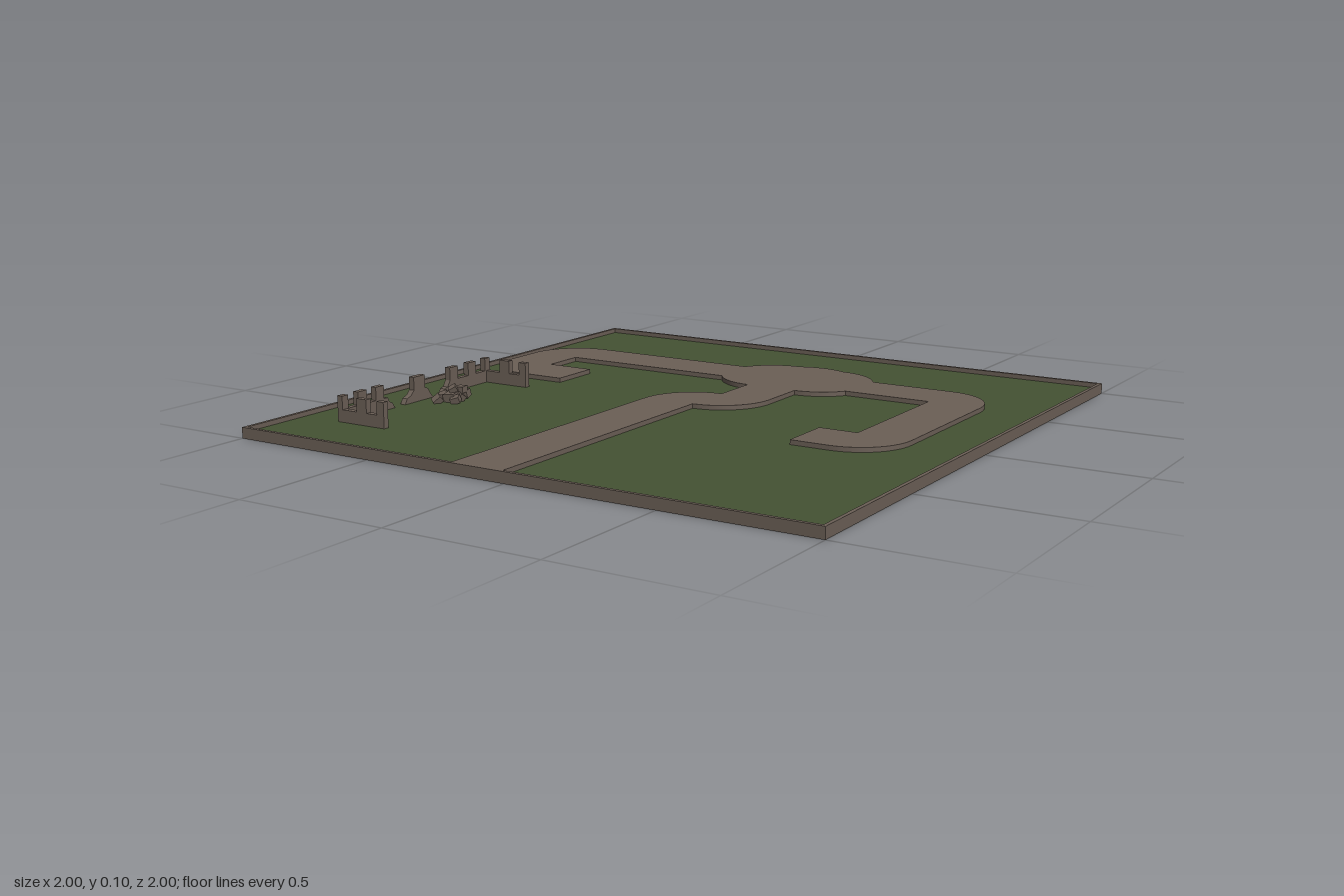
import * as THREE from 'three';

const TOP = 0.035;    // height of road and rim
const GRASS = 0.02;   // height of the sunken lawn
const R = 0.18;       // road width and corner radius

export function createModel() {
  const model = new THREE.Group();
  const stone = new THREE.MeshStandardMaterial({ color: 0x6b5f56 });
  stone.name = 'stone';
  const grass = new THREE.MeshStandardMaterial({ color: 0x445233 });
  grass.name = 'grass';

  const add = (parent, name, geometry, material) => {
    const mesh = new THREE.Mesh(geometry, material);
    mesh.name = name;
    parent.add(mesh);
    return mesh;
  };
  const group = (name) => {
    const g = new THREE.Group();
    g.name = name;
    model.add(g);
    return g;
  };
  // Box given by its limits
  const block = (parent, name, x0, x1, y0, y1, z0, z1, material = stone) => {
    const mesh = add(parent, name, new THREE.BoxGeometry(x1 - x0, y1 - y0, z1 - z0), material);
    mesh.position.set((x0 + x1) / 2, (y0 + y1) / 2, (z0 + z1) / 2);
    return mesh;
  };

  // Base tray: floor, lawn and raised rim
  const tray = group('tray');
  const w = 0.012;
  block(tray, 'floor', -1, 1, 0, 0.012, -1, 1);
  block(tray, 'lawn', -1 + w, 1 - w, 0.012, GRASS, -1 + w, 1 - w, grass);
  for (const s of [-1, 1]) {
    const a = s < 0 ? -1 : 1 - w;
    block(tray, 'rimSide', a, a + w, 0.012, TOP, -1, 1);
    block(tray, 'rimEnd', -1 + w, 1 - w, 0.012, TOP, a, a + w);
  }

  // Road: straight runs [x0, x1, z0, z1]
  const road = group('road');
  const runs = [
    [-0.19, -0.01, 0, 1],
    [-0.01, 0.17, -0.53, -0.18],
    [-0.78, -0.01, -0.61, -0.43],
    [0.17, 0.62, -0.61, -0.43],
    [-0.96, -0.78, -0.43, -0.28],
    [-0.78, -0.61, -0.28, -0.10],
    [0.62, 0.80, -0.43, 0.08],
    [0.49, 0.62, 0.075, 0.26],
  ];
  for (const [x0, x1, z0, z1] of runs) block(road, 'roadRun', x0, x1, GRASS - 0.005, TOP, z0, z1);

  // Discs and quarter-round bends; angles run from +z towards +x
  const disc = (name, x, z, r, start = 0, length = Math.PI * 2) => {
    const h = TOP - GRASS + 0.005;
    const geometry = new THREE.CylinderGeometry(r, r, h, Math.ceil(length * 8), 1, false, start, length);
    add(road, name, geometry, stone).position.set(x, TOP - h / 2, z);
  };
  const Q = Math.PI / 2;
  disc('bend', -0.01, 0, R, 2 * Q, Q);
  disc('bend', -0.01, -0.18, R, 0, Q);
  disc('bend', -0.78, -0.43, R, 2 * Q, Q);
  disc('bend', -0.78, -0.28, R, 3 * Q, Q);
  disc('bend', 0.62, -0.43, R, Q, Q);
  disc('bend', 0.62, 0.08, R, 0, Q);
  disc('plazaLobe', -0.01, -0.53, R);
  disc('plazaLobe', 0.17, -0.53, R);
  disc('plazaCentre', 0.08, -0.53, 0.2);

  // Ruined battlement: profiles along the wall, extruded by its thickness
  const ruin = group('ruin');
  const T = 0.02, LOW = 0.06, HIGH = 0.103;
  const profile = (points) => new THREE.ExtrudeGeometry(
    new THREE.Shape(points.map(([u, v]) => new THREE.Vector2(u, v))),
    { depth: T, bevelEnabled: false });
  const longWall = (name, points) => {
    const mesh = add(ruin, name, profile(points).rotateY(-Math.PI / 2), stone);
    mesh.position.x = -0.828;
  };
  longWall('backWall', [
    [0.008, GRASS], [0.26, GRASS], [0.25, 0.036], [0.235, 0.04], [0.222, LOW], [0.222, HIGH],
    [0.18, HIGH], [0.18, LOW], [0.125, LOW], [0.125, HIGH], [0.085, HIGH], [0.085, LOW],
    [0.035, LOW], [0.035, HIGH], [0.008, HIGH],
  ]);
  longWall('brokenWall', [
    [0.31, GRASS], [0.45, GRASS], [0.44, 0.038], [0.42, 0.045], [0.405, LOW], [0.405, HIGH],
    [0.35, HIGH], [0.35, LOW], [0.335, 0.055], [0.325, 0.038],
  ]);
  longWall('frontWall', [
    [0.5, GRASS], [0.742, GRASS], [0.742, HIGH], [0.715, HIGH], [0.715, LOW], [0.67, LOW],
    [0.67, HIGH], [0.63, HIGH], [0.63, LOW], [0.588, LOW], [0.588, HIGH], [0.55, HIGH],
    [0.55, LOW], [0.533, LOW], [0.525, 0.045], [0.51, 0.038],
  ]);
  for (const z of [0.008, 0.722]) {
    const wing = add(ruin, 'sideWing', profile([
      [-0.83, GRASS], [-0.66, GRASS], [-0.66, HIGH], [-0.688, HIGH], [-0.688, LOW], [-0.73, LOW],
      [-0.73, HIGH], [-0.77, HIGH], [-0.77, LOW], [-0.83, LOW],
    ]), stone);
    wing.position.z = z;
  }

  // Fallen blocks: x, y, z, size, turn
  const rubble = group('rubble');
  const rocks = [
    [-0.73, 0.035, 0.27, 0.035, 0.3], [-0.725, 0.055, 0.29, 0.03, 0.1],
    [-0.735, 0.035, 0.33, 0.04, 0.2], [-0.705, 0.032, 0.345, 0.03, 0.5],
    [-0.76, 0.03, 0.37, 0.03, 0.9], [-0.785, 0.03, 0.31, 0.03, 0.6],
    [-0.80, 0.028, 0.28, 0.022, 0.2], [-0.735, 0.06, 0.32, 0.026, 0.7],
    [-0.775, 0.028, 0.34, 0.022, 0.4], [-0.72, 0.03, 0.31, 0.035, 1.1],
  ];
  for (const [x, y, z, s, turn] of rocks) {
    const rock = add(rubble, 'fallenBlock', new THREE.BoxGeometry(s, s * 0.7, s), stone);
    rock.position.set(x, y, z);
    rock.rotation.set(turn * 0.5, turn, turn * 0.4);
  }

  return model;
}
